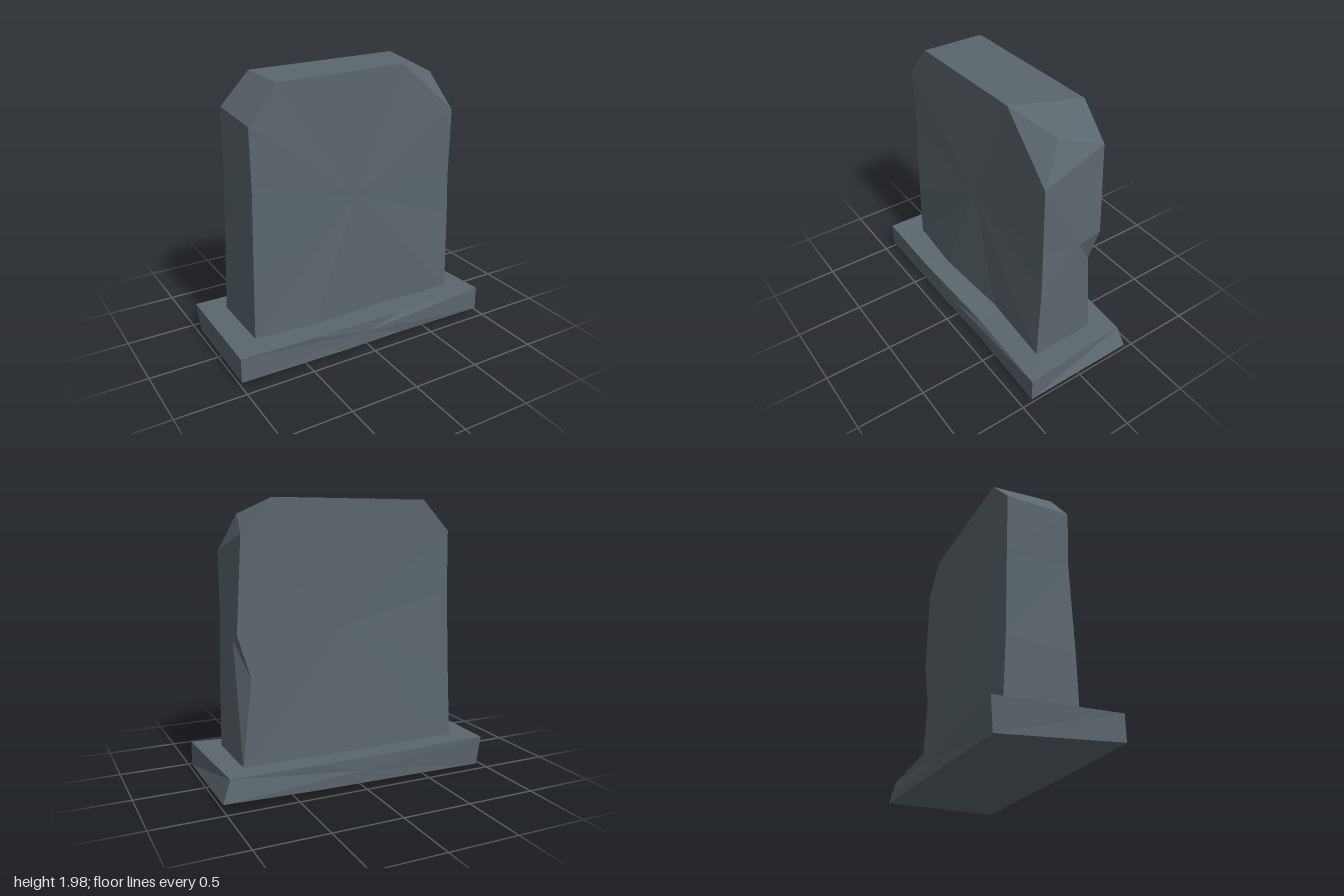
import * as THREE from 'three';

// Faceted solid: each row holds one outline point on the front face, one on the back,
// and optionally a chip point between them. Outlines run anticlockwise seen from the front.
function carvedBlock(rows, frontCentre, backCentre) {
  const positions = [];
  const tri = (a, b, c) => {
    const [p, q, r] = [a, b, c].map((v) => new THREE.Vector3(...v));
    const area = q.clone().sub(p).cross(r.clone().sub(p)).length();
    if (area > 1e-7) positions.push(...a, ...b, ...c); // skip collapsed facets
  };
  const quad = (a, b, c, d) => { tri(a, b, c); tri(a, c, d); };

  rows.forEach(([front, back, chip = front], i) => {
    const [nextFront, nextBack, nextChip = nextFront] = rows[(i + 1) % rows.length];
    tri(frontCentre, front, nextFront);
    tri(backCentre, nextBack, back);
    quad(front, chip, nextChip, nextFront);
    quad(chip, back, nextBack, nextChip);
  });

  const geometry = new THREE.BufferGeometry();
  geometry.setAttribute('position', new THREE.Float32BufferAttribute(positions, 3));
  geometry.computeVertexNormals();
  return geometry;
}

export function createModel() {
  const model = new THREE.Group();
  model.name = 'gravestone';
  const stone = new THREE.MeshStandardMaterial({ color: 0x5b676e });
  stone.name = 'slate grey stone';

  // Uneven plinth with a skewed back corner
  const plinth = new THREE.Mesh(carvedBlock([
    [[-1, 0.04, 0.42], [-0.97, 0, -0.41]],
    [[-0.2, 0.02, 0.41], [-0.2, 0.015, -0.42]],
    [[0.3, 0.015, 0.4], [0.3, 0.02, -0.42]],
    [[0.99, 0.02, 0.42], [1, 0.04, -0.42]],
    [[0.99, 0.2, 0.42], [0.94, 0.19, -0.39]],
    [[0.3, 0.185, 0.39], [0.3, 0.2, -0.42]],
    [[-0.45, 0.205, 0.42], [-0.45, 0.21, -0.43]],
    [[-1, 0.22, 0.42], [-0.99, 0.215, -0.43]],
  ], [0, 0.11, 0.405], [0, 0.11, -0.425]), stone);
  plinth.name = 'plinth';

  // Upright slab with bevelled shoulders
  const shoulder = [0.8, 1.61, 0.23], backShoulder = [0.78, 1.76, -0.23];
  const topFront = [0.38, 1.98, 0.21], topBack = [0.57, 1.98, -0.23];
  const cornerChip = [0.71, 1.87, 0.07], sideChip = [0.8, 1.04, -0.07];
  const footBack = [0.8, 0.17, -0.235];
  const slab = new THREE.Mesh(carvedBlock([
    [[-0.81, 0.17, 0.23], [-0.81, 0.17, -0.28]],
    [[-0.37, 0.19, 0.255], [-0.3, 0.17, -0.265]],
    [[0.25, 0.17, 0.21], [0.3, 0.17, -0.245]],
    // chipped back edge
    [[0.81, 0.17, 0.25], footBack, footBack],
    [[0.81, 0.8, 0.23], [0.73, 0.8, -0.23], sideChip],
    [[0.8, 1.1, 0.225], [0.82, 1.1, -0.23], sideChip],
    // broken top corner
    [shoulder, backShoulder],
    [shoulder, backShoulder, cornerChip],
    [topFront, topBack, cornerChip],
    [topFront, topBack],
    // plain shoulder and worn edge
    [[-0.58, 1.96, 0.22], [-0.57, 1.96, -0.23]],
    [[-0.79, 1.71, 0.23], [-0.785, 1.74, -0.22]],
    [[-0.78, 1.3, 0.22], [-0.785, 1.3, -0.23]],
    [[-0.8, 0.65, 0.23], [-0.8, 0.7, -0.25]],
  ], [0, 1.1, 0.22], [0.05, 1.1, -0.21]), stone);
  slab.name = 'slab';

  model.add(plinth, slab);
  return model;
}
